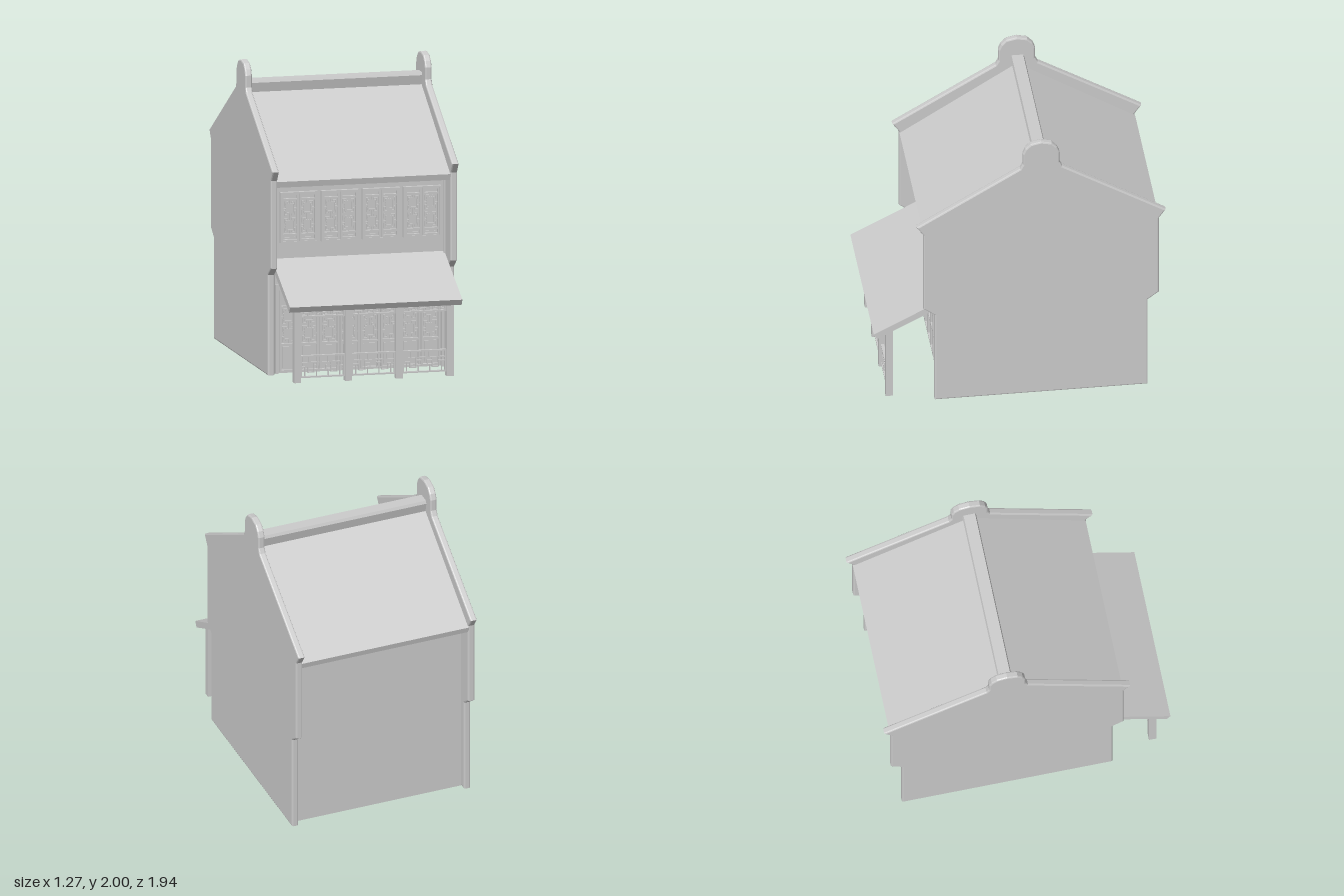
import * as THREE from 'three';
import { mergeGeometries } from 'three/addons/utils/BufferGeometryUtils.js';

const mat = new THREE.MeshStandardMaterial({ color: 0xcccccc });

function mesh(name, geometry, parent) {
  const m = new THREE.Mesh(geometry, mat);
  m.name = name;
  parent.add(m);
  return m;
}

// box given by its extents
function box(x0, x1, y0, y1, z0, z1) {
  return new THREE.BoxGeometry(x1 - x0, y1 - y0, z1 - z0)
    .translate((x0 + x1) / 2, (y0 + y1) / 2, (z0 + z1) / 2);
}

// extrude a (z, y) profile along x
function alongX(points, x0, x1, bevel = 0) {
  const shape = new THREE.Shape(points.map(([z, y]) => new THREE.Vector2(-z, y)));
  return new THREE.ExtrudeGeometry(shape, {
    depth: x1 - x0 - 2 * bevel, bevelEnabled: bevel > 0,
    bevelSize: bevel, bevelThickness: bevel, bevelOffset: -bevel, bevelSegments: 2,
  }).rotateY(Math.PI / 2).translate(x0 + bevel, 0, 0);
}

// rectangular frame in the xy plane
function frame(x0, x1, y0, y1, t, z0, z1) {
  return [
    box(x0, x0 + t, y0, y1, z0, z1), box(x1 - t, x1, y0, y1, z0, z1),
    box(x0 + t, x1 - t, y0, y0 + t, z0, z1), box(x0 + t, x1 - t, y1 - t, y1, z0, z1),
  ];
}

// thin lattice bars: lines in a -1..1 cell mapped to a rectangle
function lattice(lines, x0, x1, y0, y1, t, z0, z1) {
  const X = u => x0 + (u + 1) / 2 * (x1 - x0), Y = v => y0 + (v + 1) / 2 * (y1 - y0);
  return lines.map(([a, b, c, d]) =>
    box(X(Math.min(a, c)) - t / 2, X(Math.max(a, c)) + t / 2,
      Y(Math.min(b, d)) - t / 2, Y(Math.max(b, d)) + t / 2, z0, z1));
}

// one quarter of the notched ring motif, mirrored to all four corners
const ringMotif = [];
for (const sx of [-1, 1]) for (const sy of [-1, 1]) {
  for (const [a, b, c, d] of [
    [0, 0.55, 0.55, 0.55], [0.55, 0, 0.55, 0.55], [0, 0.55, 0, 1], [0.55, 0, 1, 0],
    [0.3, 0.55, 0.3, 0.8], [0.3, 0.8, 0.78, 0.8], [0.78, 0.32, 0.78, 0.8], [0.55, 0.32, 0.78, 0.32],
  ]) ringMotif.push([a * sx, b * sy, c * sx, d * sy]);
}

// stepped meander for the railings, rotated about its centre
const meander = [[-1, 0.4, 1, 0.4], [-0.16, -0.35, 0.16, -0.35]];
for (const s of [-1, 1]) {
  for (const [a, b, c, d] of [
    [0.16, -0.35, 0.16, 0.1], [0.16, 0.1, 0.4, 0.1], [0.4, -0.6, 0.4, 0.4], [0.4, -0.6, 0.7, -0.6],
    [0.7, -0.6, 0.7, 0], [0.7, 0, 1, 0], [0.85, -1, 0.85, 0], [0.25, 0.4, 0.25, 1],
    [0.65, 0.4, 0.65, 1], [0.28, -1, 0.28, -0.35], [0.16, -0.35, 0.4, -0.35],
  ]) meander.push([a * s, b, c * s, d]);
}

// leaf with a top panel, a lattice of stacked rings and a bottom panel
function leaf(x, w, y0, yLow, yHigh, y1, z, rings) {
  const a = x - w / 2, b = x + w / 2, t = 0.012;
  const parts = [...frame(a, b, y0, y1, t, z, z + 0.024),
    box(a + t, b - t, yLow - t, yLow, z, z + 0.024), box(a + t, b - t, yHigh, yHigh + t, z, z + 0.024),
    box(a + 2 * t, b - 2 * t, y0 + 2 * t, yLow - 2 * t, z, z + 0.012)];
  const step = (yHigh - yLow) / rings;
  for (let i = 0; i < rings; i++)
    parts.push(...lattice(ringMotif, a + t, b - t, yLow + i * step, yLow + (i + 1) * step, 0.006, z, z + 0.013));
  return mergeGeometries(parts);
}

export function createModel() {
  const house = new THREE.Group();
  house.name = 'townhouse';
  const mid = -0.14; // depth of the ridge

  // gable walls, symmetrical about the ridge
  const half = [[0.71, 0], [0.71, 0.675], [0.785, 0.73], [0.785, 1.32], [0.83, 1.385],
    [0.14, 1.795], [0.122, 1.83], [0.122, 1.91], [0.105, 1.95], [0.07, 1.985], [0, 2]];
  const gable = [...half.map(([d, y]) => [mid + d, y]),
    ...half.slice(0, -1).reverse().map(([d, y]) => [mid - d, y])];
  mesh('leftGableWall', alongX(gable, 0.59, 0.637, 0.01), house);
  mesh('rightGableWall', alongX(gable, -0.637, -0.59, 0.01), house);

  // main roof with flat soffits, and a ridge that flares upwards
  mesh('roof', alongX([[0.632, 1.27], [0.642, 1.31], [mid, 1.8], [-0.928, 1.31], [-0.918, 1.27],
    [-0.78, 1.27], [mid, 1.72], [0.47, 1.27]], -0.595, 0.595), house);
  mesh('ridge', alongX([[-0.12, 1.74], [-0.097, 1.845], [-0.104, 1.865], [-0.182, 1.865],
    [-0.19, 1.845], [-0.165, 1.74]], -0.595, 0.595), house);

  // walls between the gables
  mesh('backWall', box(-0.595, 0.595, 0, 1.3, -0.8, -0.78), house);
  mesh('upperFrontWall', box(-0.595, 0.595, 0.68, 1.3, 0.475, 0.495), house);
  mesh('lowerFrontWall', box(-0.595, 0.595, 0, 0.7, 0.475, 0.495), house);
  mesh('upperWallFrame', mergeGeometries(frame(-0.592, 0.592, 0.72, 1.27, 0.014, 0.495, 0.515)), house);

  // upper windows: four pairs of sashes
  for (let i = 0; i < 4; i++) {
    const pair = new THREE.Group();
    pair.name = 'windowPair';
    house.add(pair);
    const x = 0.011 + (i - 1.5) * 0.28;
    mesh('windowFrame', mergeGeometries(frame(x - 0.128, x + 0.128, 0.875, 1.215, 0.01, 0.493, 0.522)), pair);
    for (const s of [-1, 1])
      mesh('windowSash', leaf(x + s * 0.06, 0.116, 0.885, 0.935, 1.16, 1.205, 0.493, 2), pair);
  }

  // ground floor doors: eight leaves in a surround
  for (let i = 0; i < 8; i++)
    mesh('doorLeaf', leaf(0.006 + (i - 3.5) * 0.138, 0.13, 0.01, 0.2, 0.44, 0.56, 0.493, 2), house);
  mesh('doorSurround', mergeGeometries([box(-0.57, -0.553, 0, 0.6, 0.493, 0.525),
    box(0.562, 0.579, 0, 0.6, 0.493, 0.525), box(-0.57, 0.579, 0.56, 0.6, 0.493, 0.525)]), house);

  // sloping porch roof
  mesh('porchRoof', alongX([[0.948, 0.487], [0.97, 0.525], [0.495, 0.77], [0.48, 0.73]], -0.59, 0.587), house);

  // porch columns with railings and hanging lattices between them
  const columns = [-0.515, -0.167, 0.18, 0.527];
  columns.forEach((x, i) => {
    mesh('porchColumn', box(x - 0.023, x + 0.023, 0, 0.545, 0.836, 0.885), house);
    if (i === 3) return;
    const a = x + 0.023, b = columns[i + 1] - 0.023;
    mesh('railing', mergeGeometries([...frame(a, b, 0.03, 0.18, 0.01, 0.85, 0.872),
      ...lattice(meander, a + 0.01, b - 0.01, 0.04, 0.17, 0.006, 0.855, 0.867)]), house);
    const parts = frame(a, b, 0.435, 0.535, 0.01, 0.85, 0.872);
    for (let k = 0; k < 3; k++) {
      const w = (b - a) / 3;
      parts.push(...lattice(ringMotif, a + k * w, a + (k + 1) * w, 0.445, 0.525, 0.006, 0.855, 0.867));
    }
    mesh('hangingLattice', mergeGeometries(parts), house);
  });
  return house;
}
